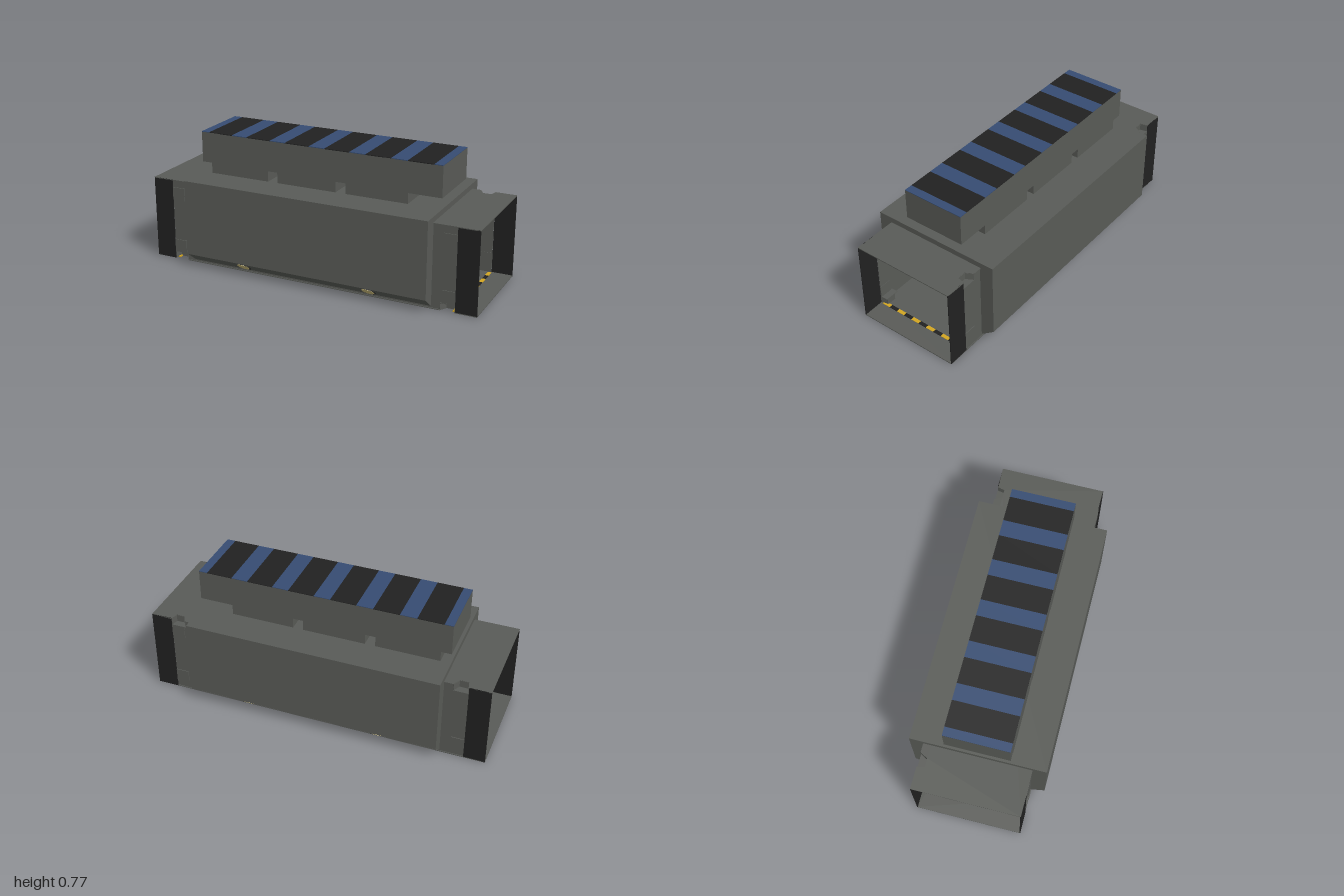
import * as THREE from 'three';

const mat = (name, color) => {
  const m = new THREE.MeshStandardMaterial({ color });
  m.name = name;
  return m;
};

export function createModel() {
  const grey = mat('hull grey', 0x595b57);
  const dark = mat('dark trim', 0x212121);
  const blue = mat('panel blue', 0x364c72);
  const yellow = mat('hazard yellow', 0xd2a622);
  const lampMat = mat('lamp cream', 0xc8b878);
  const model = new THREE.Group();
  model.name = 'corridorModule';

  const add = (parent, name, geo, m) => {
    const mesh = new THREE.Mesh(geo, m);
    mesh.name = name;
    parent.add(mesh);
    return mesh;
  };
  // box given by its limits on each axis
  const box = (parent, name, m, x0, x1, y0, y1, z0, z1) => {
    const mesh = add(parent, name, new THREE.BoxGeometry(x1 - x0, y1 - y0, z1 - z0), m);
    mesh.position.set((x0 + x1) / 2, (y0 + y1) / 2, (z0 + z1) / 2);
    return mesh;
  };
  const plate = (pts, depth) => new THREE.ExtrudeGeometry(
    new THREE.Shape(pts.map(p => new THREE.Vector2(...p))), { depth, bevelEnabled: false });

  // Tunnel: one ceiling and back wall, repeated upside down as floor and front wall
  const H = 0.49, W = 0.307;
  const tunnelHalf = (deckName, wallName) => {
    const g = new THREE.Group();
    g.name = deckName + 'And' + wallName;
    // deck with two tapered notches along the back edge
    const deck = add(g, deckName, plate([
      [-1, -W], [1, -W], [1, W], [0.875, W], [0.865, 0.262], [0.815, 0.262], [0.79, W],
      [-0.79, W], [-0.815, 0.262], [-0.865, 0.262], [-0.875, W], [-1, W]], 0.005), grey);
    deck.rotation.x = -Math.PI / 2;
    deck.position.y = H - 0.006;
    // wall with matching notches along the top edge
    const wall = add(g, wallName, plate([
      [-0.877, 0.004], [0.877, 0.004], [0.877, 0.445], [0.79, 0.445], [0.79, H - 0.003],
      [-0.79, H - 0.003], [-0.79, 0.445], [-0.877, 0.445]], 0.003), grey);
    wall.position.z = -0.302;
    for (const s of [-1, 1]) {
      const sbox = (name, m, x0, x1, ...r) =>
        box(g, name, m, Math.min(s * x0, s * x1), Math.max(s * x0, s * x1), ...r);
      sbox('endWall', dark, 0.877, 1, 0.001, H - 0.001, -W, -0.303);
      // pocket sunk into the corner
      sbox('pocketBottom', grey, 0.79, 0.875, 0.443, 0.447, -W, -0.26);
      sbox('pocketBack', grey, 0.81, 0.868, 0.445, H - 0.002, -0.264, -0.26);
      for (const [xa, xb] of [[0.79, 0.815], [0.875, 0.865]]) {
        const side = sbox('pocketSide', grey, -0.0015, 0.0015, 0.445, H - 0.002, -0.0225, 0.0225);
        side.position.set(s * (xa + xb) / 2, 0.466, -0.284);
        side.rotation.y = s * Math.atan2(xb - xa, 0.045);
      }
      // clips joining the end wall to the inner wall
      for (const y of [0.047, 0.37])
        sbox('wallClip', grey, 0.8, 0.877, y, y + 0.077, -0.3065, -0.297);
    }
    model.add(g);
    return g;
  };
  tunnelHalf('ceiling', 'backWall');
  const lower = tunnelHalf('floor', 'frontWall');
  lower.rotation.x = Math.PI;
  lower.position.y = H;

  // Hazard strip across the floor at each end
  const N = 11, step = 0.58 / N;
  for (const s of [-1, 1])
    for (let i = 0; i < N; i++) {
      const z = -0.29 + i * step;
      box(model, 'hazardStrip', i % 2 ? dark : yellow, s * 0.87 - 0.011, s * 0.87 + 0.011,
        0, 0.008, z, z + step);
    }

  // Armoured jacket over the middle, open below, with bevelled lower edges
  const jacket = add(model, 'jacket', plate([
    [-0.385, 0.078], [-W, 0.017], [-0.303, 0.017], [-0.303, 0.491], [0.303, 0.491],
    [0.303, 0.017], [W, 0.017], [0.385, 0.078], [0.385, 0.523], [-0.385, 0.523]], 1.48), grey);
  jacket.rotation.y = Math.PI / 2;
  jacket.position.x = -0.74;

  // Lamps on the bevels
  const slope = Math.atan2(0.061, 0.078);
  for (const s of [-1, 1])
    for (const x of [-0.39, 0.39]) {
      const mount = new THREE.Group();
      mount.name = 'lampMount';
      mount.position.set(x, 0.0475, s * 0.346);
      mount.rotation.x = -s * slope;
      const lamp = add(mount, 'lamp', new THREE.CylinderGeometry(0.037, 0.037, 0.006, 8), lampMat);
      lamp.rotation.y = Math.PI / 8;
      const rim = add(mount, 'lampRim', new THREE.CylinderGeometry(0.038, 0.038, 0.003, 8), dark);
      rim.rotation.y = Math.PI / 8;
      rim.position.x = 0.008;
      mount.scale.z = 1.15;
      model.add(mount);
    }

  // Roof unit on three feet
  for (const [a, b] of [[-0.68, -0.31], [-0.25, 0.115], [0.175, 0.545]])
    box(model, 'roofFoot', grey, a, b, 0.52, 0.588, -0.183, 0.183);
  box(model, 'roofUnit', grey, -0.74, 0.74, 0.585, 0.764, -0.185, 0.185);

  // Striped panel on the roof unit
  let x = -0.74;
  for (let i = 0; i < 13; i++) {
    const w = i % 2 ? 0.15 : (i === 0 || i === 12 ? 0.05 : 0.096);
    box(model, i % 2 ? 'darkStripe' : 'blueStripe', i % 2 ? dark : blue,
      x, Math.min(x + w, 0.74), 0.763, 0.767, -0.185, 0.185);
    x += w;
  }
  return model;
}
